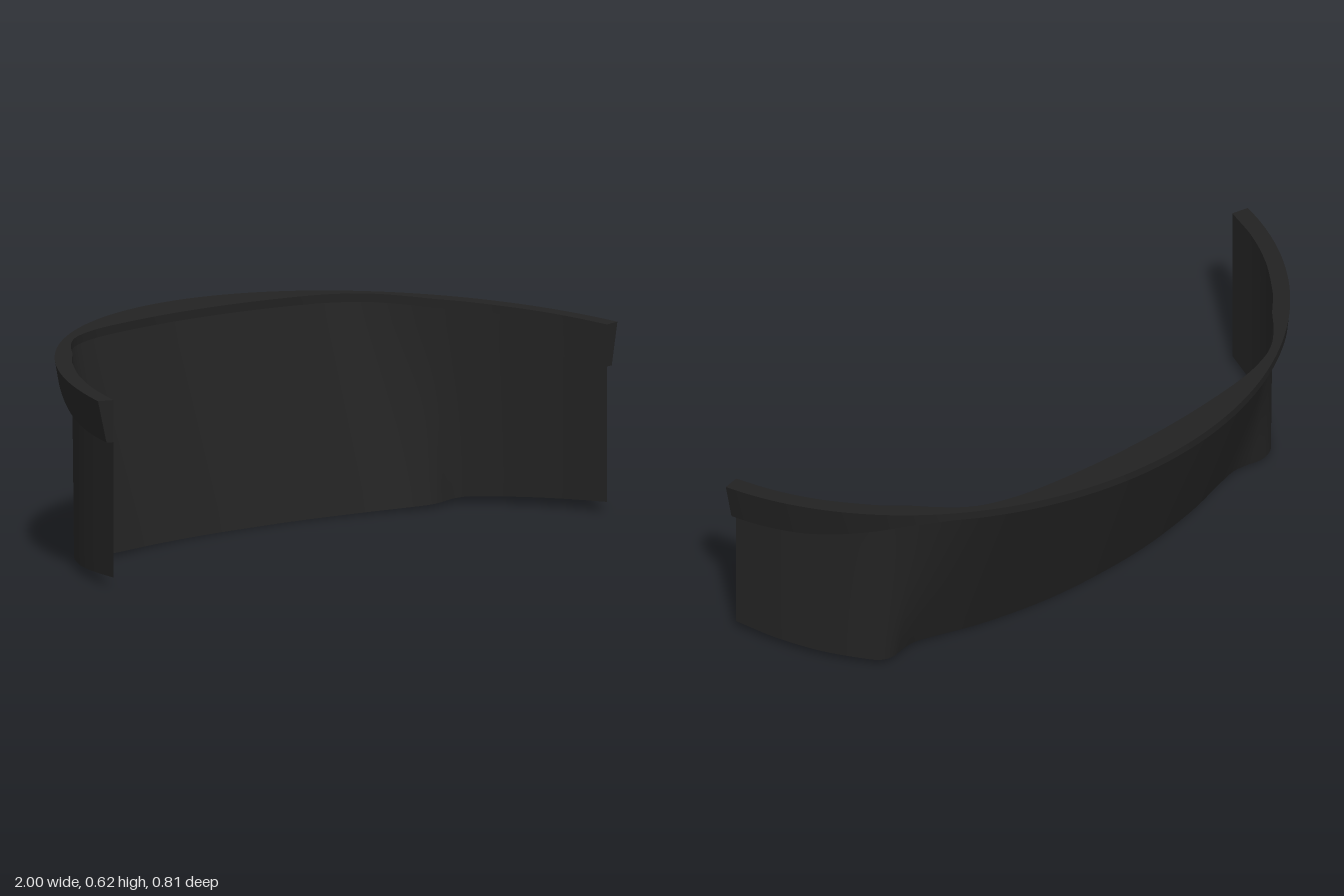
import * as THREE from 'three';

const CENTRE_Z = 0.62, RIM_RADIUS = 1.025, SEGMENTS = 120;

// Half of the wall's top edge (x, z) and bottom edge (x, y, z), from the middle to the end
const TOP = [[0, -0.295], [0.2, -0.287], [0.4, -0.262], [0.52, -0.226], [0.59, -0.183], [0.65, -0.12],
  [0.69, -0.069], [0.73, -0.026], [0.77, 0.022], [0.85, 0.142], [0.91, 0.27], [0.95, 0.403]];
const BOTTOM = [[0, 0.002, -0.088], [0.2, 0.003, -0.079], [0.4, 0.006, -0.045], [0.54, 0.01, -0.006],
  [0.61, 0.012, 0.011], [0.66, 0.013, 0.007], [0.7, 0.015, -0.003], [0.735, 0.018, 0.001],
  [0.77, 0.021, 0.028], [0.85, 0.025, 0.142], [0.91, 0.029, 0.27], [0.95, 0.033, 0.403]];

// Height of the tilted top face of the rim
const rimHeight = z => 0.553 + (0.395 - z) * 0.0925;

function mirroredCurve(points) {
  const right = points.slice(1).reverse().map(([x, y, z]) => new THREE.Vector3(-x, y, z));
  const left = points.map(p => new THREE.Vector3(...p));
  return new THREE.CatmullRomCurve3([...right, ...left], false, 'catmullrom', 0.5);
}

// Ruled surface between two edges given as functions of u in 0..1
function ruled(edgeA, edgeB, rows = 1, columns = SEGMENTS) {
  const positions = [], index = [];
  for (let i = 0; i <= columns; i++) {
    const a = edgeA(i / columns), b = edgeB(i / columns);
    for (let j = 0; j <= rows; j++) positions.push(...a.clone().lerp(b, j / rows).toArray());
  }
  for (let i = 0; i < columns; i++) {
    for (let j = 0; j < rows; j++) {
      const p = i * (rows + 1) + j, q = p + rows + 1;
      index.push(p, p + 1, q, q, p + 1, q + 1);
    }
  }
  const geometry = new THREE.BufferGeometry();
  geometry.setAttribute('position', new THREE.Float32BufferAttribute(positions, 3));
  geometry.setIndex(index);
  geometry.computeVertexNormals();
  return geometry;
}

export function createModel() {
  const model = new THREE.Group();
  model.name = 'curvedVisor';
  const black = new THREE.MeshStandardMaterial({ color: 0x222222, side: THREE.DoubleSide });
  black.name = 'matteBlack';

  const topCurve = mirroredCurve(TOP.map(([x, z]) => [x, rimHeight(z) - 0.025, z]));
  const bottomCurve = mirroredCurve(BOTTOM);
  const wallTop = u => topCurve.getPoint(u);
  const wallBottom = u => bottomCurve.getPoint(u);

  // Point at radius r in the direction of the wall top
  const radial = (u, r, drop) => {
    const p = wallTop(u);
    const angle = Math.atan2(p.x, CENTRE_Z - p.z);
    const z = CENTRE_Z - r * Math.cos(angle);
    return new THREE.Vector3(r * Math.sin(angle), rimHeight(z) - drop, z);
  };
  // The rim's underside deepens into a sloping skirt towards both ends
  const skirt = u => THREE.MathUtils.smoothstep(Math.abs(wallTop(u).x), 0.6, 0.93);
  const drop = u => 0.025 + 0.098 * skirt(u);

  const innerTop = u => { const p = wallTop(u); p.y += 0.025; return p; };
  const outerTop = u => radial(u, RIM_RADIUS, 0);
  const outerBottom = u => radial(u, RIM_RADIUS - 0.028 * skirt(u), drop(u));
  const innerBottom = u => { const p = wallTop(u); p.y -= drop(u) - 0.025; return p; };

  const add = (name, geometry, parent) => {
    const mesh = new THREE.Mesh(geometry, black);
    mesh.name = name;
    parent.add(mesh);
  };

  // Wall: upright at the sides, leaning forward at the bottom in the middle
  add('wall', ruled(wallTop, wallBottom, 10), model);

  // Rim: four faces, each smooth along its length with sharp corners between
  const rim = new THREE.Group();
  rim.name = 'rim';
  model.add(rim);
  add('rimTop', ruled(innerTop, outerTop), rim);
  add('rimOuterEdge', ruled(outerTop, outerBottom), rim);
  add('rimUnderside', ruled(outerBottom, innerBottom), rim);
  add('rimInnerEdge', ruled(innerBottom, innerTop), rim);

  // End caps of the rim
  for (const [name, u] of [['rimRightEnd', 0], ['rimLeftEnd', 1]]) {
    const inner = t => innerTop(u).lerp(innerBottom(u), t);
    const outer = t => outerTop(u).lerp(outerBottom(u), t);
    add(name, u ? ruled(inner, outer, 1, 1) : ruled(outer, inner, 1, 1), rim);
  }
  return model;
}
